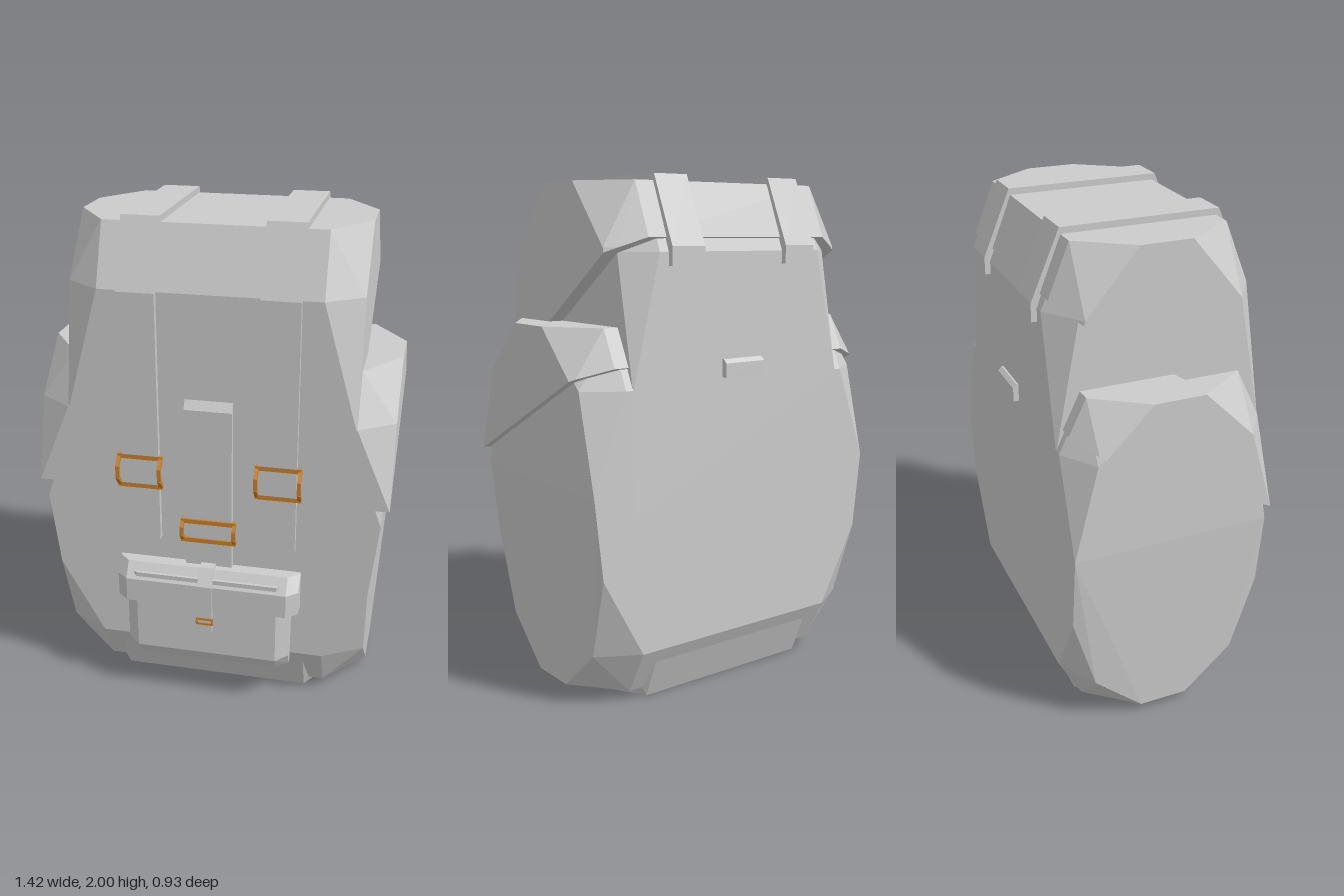
import * as THREE from 'three';
import { ConvexGeometry } from 'three/addons/geometries/ConvexGeometry.js';

const grey = new THREE.MeshStandardMaterial({ color: 0xcccccc, flatShading: true });
const brass = new THREE.MeshStandardMaterial({ color: 0xc8822f, flatShading: true });
const ZC = -0.045; // depth centre of the pack

function part(parent, name, geometry, material = grey) {
  const mesh = new THREE.Mesh(geometry, material);
  mesh.name = name;
  parent.add(mesh);
  return mesh;
}

// Convex solid from [x, y, z] points, each mirrored to both sides
const hull = (pts) => new ConvexGeometry(
  pts.flatMap(([x, y, z]) => [new THREE.Vector3(x, y, z), new THREE.Vector3(-x, y, z)]));

// One chamfered end of a pack shape: dir is 1 for the top, -1 for the bottom;
// drops are the heights of the bevel and of the long corner facets
function endPoints(x, y, dir, chamfer, { cornerX = x, drops = [0.24, 0.74], depth = 0.395 } = {}) {
  const bevelY = y - dir * drops[0], cornerY = y - dir * drops[1];
  return [1, -1].flatMap((s) => [
    [x - chamfer, y, ZC + s * 0.3],
    [x - chamfer, bevelY, ZC + s * depth],
    [x, y, ZC + s * 0.1],
    [x, bevelY, ZC + s * 0.3],
    [cornerX, cornerY, ZC + s * depth],
  ]);
}

// Keep what lies above the sloping plane y = a - b * z, cutting the edges that cross it
function clipAbove(pts, a, b) {
  const height = ([, y, z]) => y - a + b * z;
  const above = pts.filter((p) => height(p) >= 0);
  const below = pts.filter((p) => height(p) < 0);
  const cuts = above.flatMap((p) => below.map((q) => {
    const t = height(p) / (height(p) - height(q));
    return p.map((v, i) => v + (q[i] - v) * t);
  }));
  return [...above, ...cuts];
}

// Band of constant width along x from a (z, y) outline
function band(outline, width) {
  const shape = new THREE.Shape(outline.map(([z, y]) => new THREE.Vector2(-z, y)));
  const g = new THREE.ExtrudeGeometry(shape, { depth: width, bevelEnabled: false });
  return g.translate(0, 0, -width / 2).rotateY(Math.PI / 2);
}

// Square bar between two points
function bar(parent, a, b, size) {
  const p = new THREE.Vector3(...a), q = new THREE.Vector3(...b);
  const box = new THREE.BoxGeometry(size, size, p.distanceTo(q) + size * 0.6);
  const mesh = part(parent, 'buckleBar', box, brass);
  mesh.position.copy(p).lerp(q, 0.5);
  mesh.lookAt(q);
}

// Rectangular buckle whose sides bend outwards
function buckle(parent, x, y, z, w, h, bulge, size) {
  const g = new THREE.Group();
  g.name = 'buckle';
  for (const s of [-1, 1]) {
    bar(g, [-w / 2, s * h / 2, 0], [w / 2, s * h / 2, 0], size);
    for (const e of [-1, 1]) {
      bar(g, [s * w / 2, e * h / 2, 0], [s * w / 2, e * h / 5, bulge], size * 0.8);
    }
    bar(g, [s * w / 2, -h / 5, bulge], [s * w / 2, h / 5, bulge], size * 0.8);
  }
  g.position.set(x, y, z);
  parent.add(g);
}

export function createModel() {
  const model = new THREE.Group();
  model.name = 'backpack';

  // Main body
  part(model, 'mainBody', hull([
    ...endPoints(0.51, 1.96, 1, 0.12), ...endPoints(0.51, 0, -1, 0.12)]));

  // Side pockets, wider towards the top
  part(model, 'sidePockets', hull([
    ...endPoints(0.68, 1.43, 1, 0.14, { drops: [0.2, 0.58] }),
    ...endPoints(0.635, 0.04, -1, 0.165, { cornerX: 0.645, drops: [0.18, 0.5] })]));

  // Side pocket lids, cut off by a plane rising to the back
  const sideLid = endPoints(0.71, 1.45, 1, 0.14, { drops: [0.2, 0.53], depth: 0.397 });
  part(model, 'sidePocketLids', hull(clipAbove(sideLid, 1.099, 0.51)));

  // Top lid, cut the same way but higher
  const topLid = endPoints(0.57, 1.975, 1, 0.14, { depth: 0.397 });
  part(model, 'topLid', hull(clipAbove(topLid, 1.477, 0.69)));

  // Two long straps over the top, with clipped tips and buckles
  const strapOutline = [
    [0.375, 0.71], [0.375, 1.735], [0.268, 2], [-0.35, 2], [-0.462, 1.74], [-0.462, 1.67],
    [-0.42, 1.67], [-0.42, 1.72], [-0.32, 1.94], [0.24, 1.94], [0.335, 1.71], [0.335, 0.71]];
  for (const s of [-1, 1]) {
    part(model, 'longStrap', band(strapOutline, 0.15)).position.x = s * 0.275;
    const tip = [0.335, 0.375].flatMap((z) => [[0.075, 0.71, z], [0.04, 0.67, z]]);
    part(model, 'strapTip', hull(tip)).position.x = s * 0.275;
    buckle(model, s * 0.278, 1.005, 0.367, 0.17, 0.124, 0.03, 0.018);
  }

  // Short middle strap with a bevelled top
  part(model, 'middleStrap', band([
    [0.375, 0.58], [0.375, 1.285], [0.352, 1.32], [0.33, 1.32], [0.33, 0.58]], 0.19));
  buckle(model, 0, 0.767, 0.375, 0.212, 0.084, 0.018, 0.018);

  // Front pocket with chamfered lower corners
  part(model, 'frontPocket', hull([
    [0.34, 0.58, 0.3], [0.34, 0.58, 0.4], [0.29, 0.58, 0.44],
    [0.34, 0.24, 0.4], [0.29, 0.23, 0.44],
    [0.335, 0.175, 0.3], [0.335, 0.175, 0.36], [0.28, 0.175, 0.405]]));

  // Front pocket lid, overhanging the pocket
  part(model, 'frontPocketLid', hull([
    [0.375, 0.61, 0.3], [0.375, 0.61, 0.36], [0.33, 0.612, 0.405],
    [0.375, 0.55, 0.41], [0.33, 0.55, 0.448],
    [0.375, 0.45, 0.3], [0.375, 0.45, 0.41], [0.33, 0.45, 0.448]]));

  // Small strap closing the front pocket
  part(model, 'pocketStrap', band([
    [0.458, 0.345], [0.458, 0.555], [0.415, 0.622], [0.36, 0.622], [0.36, 0.6],
    [0.43, 0.53], [0.43, 0.345]], 0.06));
  part(model, 'pocketStrapTip', hull(
    [0.43, 0.458].flatMap((z) => [[0.03, 0.345, z], [0.018, 0.325, z]])));
  buckle(model, 0, 0.395, 0.458, 0.064, 0.022, 0.002, 0.009);

  // Small loop on the back
  part(model, 'backLoop', band([
    [-0.43, 1.315], [-0.447, 1.315], [-0.462, 1.3], [-0.462, 1.245], [-0.43, 1.245]], 0.19));

  return model;
}
